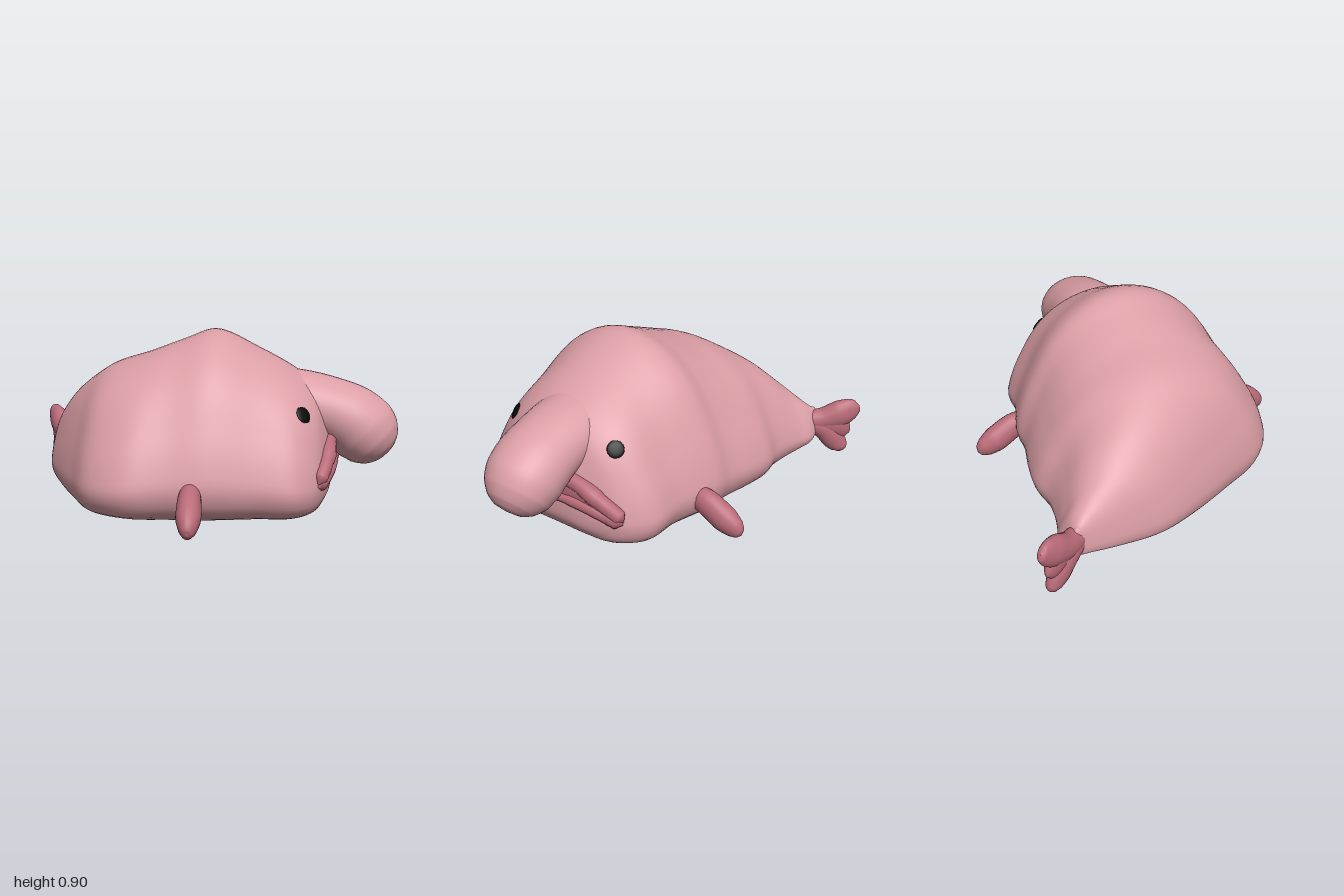
import * as THREE from 'three';

const V = (x, y, z) => new THREE.Vector3(x, y, z);
const skin = new THREE.MeshStandardMaterial({ name: 'pinkSkin', color: 0xdc9fa6 });
const dark = new THREE.MeshStandardMaterial({ name: 'darkPinkFin', color: 0xb96b78 });
const black = new THREE.MeshStandardMaterial({ name: 'eyeBlack', color: 0x080808 });

// Skin over closed rings of equal length
function skinRings(rings) {
  const n = rings[0].length, pos = [], idx = [];
  rings.forEach((r) => r.forEach((p) => pos.push(p.x, p.y, p.z)));
  for (let i = 0; i < rings.length - 1; i++) {
    for (let j = 0; j < n; j++) {
      const a = i * n + j, b = i * n + (j + 1) % n;
      idx.push(a, b, a + n, b, b + n, a + n);
    }
  }
  const g = new THREE.BufferGeometry();
  g.setAttribute('position', new THREE.Float32BufferAttribute(pos, 3));
  g.setIndex(idx);
  g.computeVertexNormals();
  return g;
}

// Elliptical tube; rows are [x, y, z, radius along side, radius across it]
function sweep(rows, side, steps = 40, sides = 20) {
  const path = new THREE.CatmullRomCurve3(rows.map((r) => V(r[0], r[1], r[2])));
  const radii = new THREE.CatmullRomCurve3(rows.map((r) => V(r[3], r[4], 0)));
  const rings = [];
  for (let i = 0; i <= steps; i++) {
    const c = path.getPoint(i / steps), r = radii.getPoint(i / steps);
    const t = path.getTangent(i / steps);
    const up = t.clone().cross(side).normalize();
    const s = up.clone().cross(t).normalize();
    const ring = [];
    for (let j = 0; j < sides; j++) {
      const a = (j / sides) * Math.PI * 2;
      ring.push(c.clone()
        .addScaledVector(s, Math.max(r.x, 0.0005) * Math.cos(a))
        .addScaledVector(up, Math.max(r.y, 0.0005) * Math.sin(a)));
    }
    rings.push(ring);
  }
  return skinRings(rings);
}

// Bell-shaped body sections that turn towards the bent tail
function bodyGeometry() {
  // left x, left z, right x, right z, bottom, top
  const rows = [
    [0.67, 0, 0.67, 0, 0.215, 0.215],
    [0.66, 0.2, 0.66, -0.2, 0.13, 0.4],
    [0.63, 0.33, 0.63, -0.33, 0.08, 0.51],
    [0.58, 0.44, 0.58, -0.43, 0.035, 0.62],
    [0.48, 0.53, 0.48, -0.515, 0.015, 0.705],
    [0.3, 0.55, 0.3, -0.53, 0.01, 0.805],
    [0.07, 0.595, 0.07, -0.59, 0.005, 0.9],
    [-0.12, 0.6, -0.05, -0.59, 0.005, 0.85],
    [-0.32, 0.625, -0.22, -0.62, 0.01, 0.78],
    [-0.51, 0.53, -0.35, -0.63, 0.015, 0.725],
    [-0.63, 0.32, -0.47, -0.605, 0.025, 0.65],
    [-0.75, 0.08, -0.59, -0.61, 0.045, 0.55],
    [-0.83, -0.12, -0.69, -0.63, 0.07, 0.44],
    [-0.86, -0.33, -0.76, -0.65, 0.1, 0.355],
    [-0.875, -0.51, -0.82, -0.64, 0.13, 0.295],
    [-0.885, -0.58, -0.85, -0.62, 0.15, 0.28],
    [-0.88, -0.61, -0.88, -0.61, 0.215, 0.215],
  ];
  const half = [[0.5, 0], [0.76, 0.02], [0.93, 0.09], [1, 0.21], [0.97, 0.33], [0.91, 0.45],
    [0.835, 0.56], [0.75, 0.67], [0.64, 0.78], [0.48, 0.885], [0.25, 0.97]];
  const loop = [[0, 0], ...half, [0, 1], ...half.slice().reverse().map(([u, v]) => [-u, v])];
  const profile = new THREE.CatmullRomCurve3(loop.map(([u, v]) => V(u, v, 0)), true);
  const left = new THREE.CatmullRomCurve3(rows.map((r) => V(r[0], r[4], r[1])));
  const right = new THREE.CatmullRomCurve3(rows.map((r) => V(r[2], r[5], r[3])));
  const rings = [], steps = 96, sides = 72;
  for (let i = 0; i <= steps; i++) {
    const l = left.getPoint(i / steps), r = right.getPoint(i / steps), ring = [];
    for (let j = 0; j < sides; j++) {
      const p = profile.getPoint(j / sides), k = (1 - p.x) / 2;
      ring.push(V(l.x + (r.x - l.x) * k, l.y + (r.y - l.y) * p.y, l.z + (r.z - l.z) * k));
    }
    rings.push(ring);
  }
  return skinRings(rings);
}

export function createModel() {
  const model = new THREE.Group();
  const add = (name, geometry, material) => {
    const m = new THREE.Mesh(geometry, material);
    m.name = name;
    model.add(m);
    return m;
  };
  const body = add('body', bodyGeometry(), skin);

  // Drooping bulb nose
  add('nose', sweep([
    [0.3, 0.56, 0, 0.2, 0.15], [0.5, 0.54, 0, 0.2, 0.155], [0.66, 0.495, 0, 0.195, 0.163],
    [0.76, 0.448, 0, 0.197, 0.175], [0.82, 0.4, 0, 0.193, 0.18], [0.88, 0.34, 0, 0.168, 0.16],
    [0.92, 0.3, 0, 0.122, 0.118], [0.941, 0.279, 0, 0.067, 0.065], [0.946, 0.274, 0, 0, 0],
  ], V(0, 0, 1), 64, 36), skin);

  // Frowning mouth: half-paths mirrored across z
  const mirrored = (rows) => [
    ...rows,
    ...rows.slice(0, -1).reverse().map(([x, y, z, a, b]) => [x, y, -z, a, b]),
  ];
  const mouth = {
    upperLip: [[0.6, 0.205, 0.415, 0, 0], [0.608, 0.225, 0.39, 0.035, 0.04],
      [0.635, 0.29, 0.3, 0.038, 0.042], [0.65, 0.35, 0.18, 0.038, 0.042], [0.66, 0.375, 0, 0.038, 0.042]],
    lowerLip: [[0.6, 0.185, 0.41, 0, 0], [0.61, 0.2, 0.38, 0.035, 0.04],
      [0.645, 0.24, 0.28, 0.036, 0.036], [0.665, 0.262, 0.15, 0.035, 0.034], [0.675, 0.262, 0, 0.035, 0.034]],
    innerMouth: [[0.605, 0.195, 0.4, 0, 0], [0.612, 0.215, 0.375, 0.028, 0.035],
      [0.64, 0.268, 0.29, 0.028, 0.045], [0.655, 0.308, 0.165, 0.028, 0.06], [0.665, 0.32, 0, 0.028, 0.06]],
  };
  for (const [name, rows] of Object.entries(mouth)) {
    add(name, sweep(mirrored(rows), V(1, 0, 0), 64, 14), dark);
  }

  // Side fins, set at different points along the bent body
  for (const [name, x, s, reach] of [['leftFin', 0, 1, 0], ['rightFin', 0.162, -1, 0.025]]) {
    const rows = [[0, 0.19, 0.52, 0.045, 0.055], [0, 0.165, 0.61, 0.056, 0.07],
      [-0.005, 0.115, 0.7, 0.06, 0.072], [-0.008, 0.075, 0.77, 0.044, 0.055],
      [-0.008, 0.056, 0.8, 0.024, 0.03], [-0.008, 0.05, 0.81, 0, 0]];
    add(name, sweep(rows.map(([dx, y, z, a, b]) => [x - s * dx, y, s * (z - reach), a, b]), V(1, 0, 0)), dark);
  }

  // Forked tail fin with a web between its lobes
  const tailSide = V(0.82, 0, -0.57);
  const tail = {
    upperTailLobe: [[-0.82, 0.215, -0.57, 0.05, 0.055], [-0.88, 0.225, -0.65, 0.055, 0.065],
      [-0.925, 0.26, -0.72, 0.052, 0.075], [-0.96, 0.293, -0.77, 0.036, 0.062],
      [-0.982, 0.31, -0.797, 0.02, 0.034], [-0.988, 0.315, -0.803, 0, 0]],
    lowerTailLobe: [[-0.82, 0.205, -0.57, 0.05, 0.05], [-0.88, 0.175, -0.65, 0.055, 0.065],
      [-0.912, 0.11, -0.7, 0.048, 0.065], [-0.932, 0.06, -0.735, 0.034, 0.046],
      [-0.938, 0.038, -0.742, 0.016, 0.022], [-0.94, 0.032, -0.744, 0, 0]],
    tailWeb: [[-0.82, 0.21, -0.57, 0.05, 0.055], [-0.88, 0.205, -0.655, 0.05, 0.07],
      [-0.93, 0.2, -0.73, 0.04, 0.085], [-0.95, 0.205, -0.76, 0.022, 0.06], [-0.958, 0.21, -0.77, 0, 0]],
  };
  for (const [name, rows] of Object.entries(tail)) add(name, sweep(rows, tailSide), dark);

  // Eyes: flat discs resting on the face
  body.updateMatrixWorld(true);
  for (const [name, z] of [['leftEye', 0.33], ['rightEye', -0.31]]) {
    const hit = new THREE.Raycaster(V(2, 0.525, z), V(-1, 0, 0)).intersectObject(body)[0];
    const eye = add(name, new THREE.SphereGeometry(0.042, 20, 12), black);
    eye.scale.z = 0.2;
    eye.position.copy(hit.point);
    eye.lookAt(hit.point.clone().add(hit.face.normal));
  }
  return model;
}
